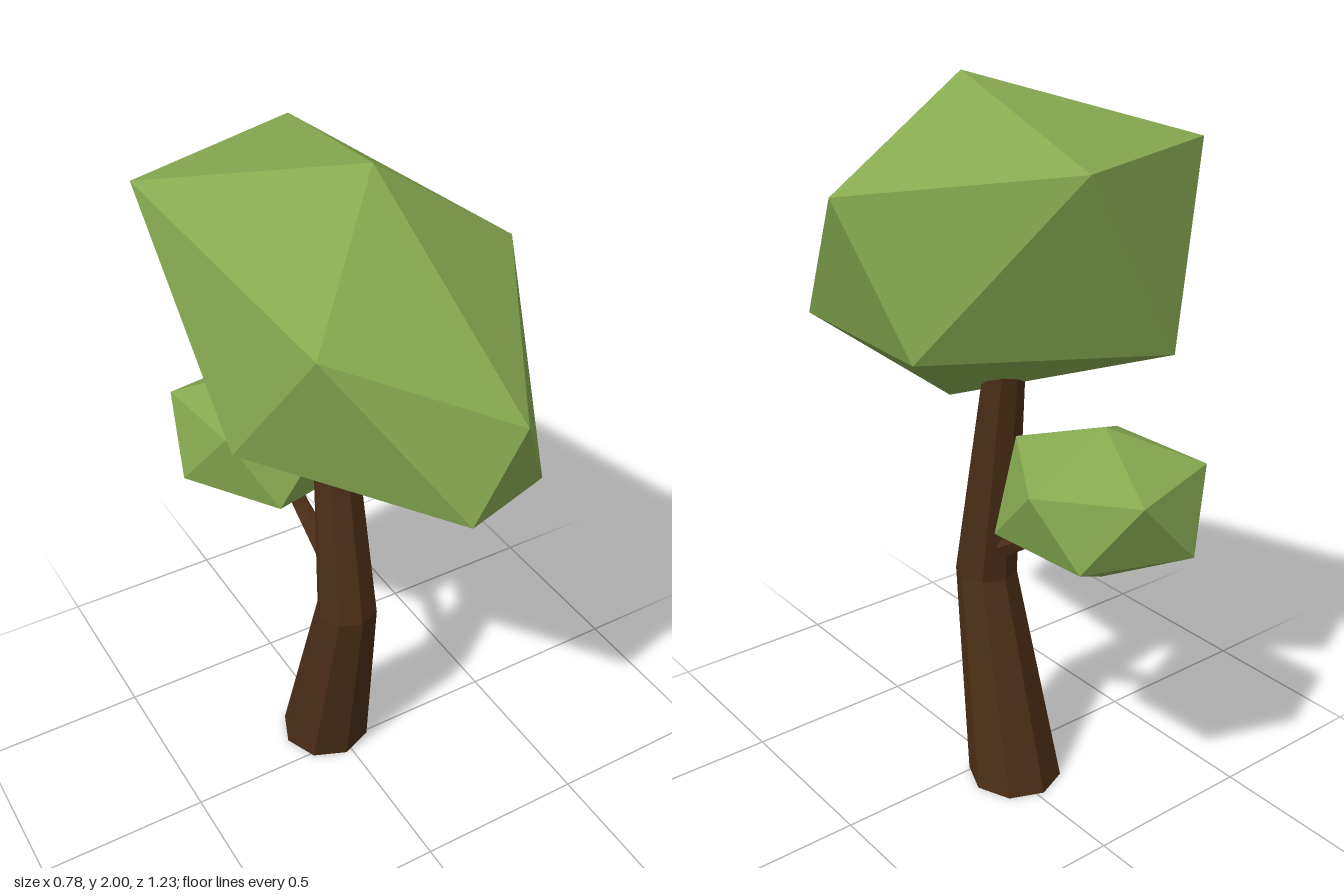
import * as THREE from 'three';

const bark = new THREE.MeshStandardMaterial({ color: 0x4a2e17, flatShading: true });
const leaf = new THREE.MeshStandardMaterial({ color: 0x86a850, flatShading: true });

// Faceted mesh from a list of triangles, each an array of three [x, y, z] points
function facetMesh(name, triangles, material) {
  const geometry = new THREE.BufferGeometry();
  geometry.setAttribute('position', new THREE.Float32BufferAttribute(triangles.flat(2), 3));
  geometry.computeVertexNormals();
  const mesh = new THREE.Mesh(geometry, material);
  mesh.name = name;
  return mesh;
}

// Capped limb through rings { c: centre, r: radius, tilt: lean towards the back }
function limb(name, sides, rings) {
  const loops = rings.map(({ c, r, tilt = 0 }) =>
    Array.from({ length: sides }, (_, i) => {
      const a = (i / sides) * Math.PI * 2;
      const v = r * Math.sin(a);
      return [c[0] + r * Math.cos(a), c[1] + v * Math.sin(tilt), c[2] + v * Math.cos(tilt)];
    }));
  const last = rings.length - 1;
  const triangles = [];
  for (let i = 0; i < sides; i++) {
    const j = (i + 1) % sides;
    for (let k = 0; k < last; k++) {
      const p = loops[k], q = loops[k + 1];
      triangles.push([p[i], q[i], p[j]], [q[i], q[j], p[j]]);
    }
    triangles.push([rings[0].c, loops[0][i], loops[0][j]]);
    triangles.push([rings[last].c, loops[last][j], loops[last][i]]);
  }
  return facetMesh(name, triangles, bark);
}

// Irregular icosahedron: top point, two staggered rings of five, bottom point
function foliage(name, top, upper, lower, bottom) {
  const triangles = [];
  for (let i = 0; i < 5; i++) {
    const j = (i + 1) % 5;
    triangles.push(
      [top, upper[j], upper[i]],
      [upper[i], upper[j], lower[i]],
      [lower[i], upper[j], lower[j]],
      [bottom, lower[i], lower[j]]);
  }
  return facetMesh(name, triangles, leaf);
}

export function createModel() {
  const tree = new THREE.Group();
  tree.name = 'tree';

  // Bent, tapering trunk
  tree.add(limb('trunk', 8, [
    { c: [-0.02, 0, -0.085], r: 0.135 },
    { c: [-0.02, 0.62, 0.05], r: 0.0875 },
    { c: [-0.015, 1.245, -0.035], r: 0.056 },
  ]));

  // Side branch curving up into the small crown
  tree.add(limb('branch', 6, [
    { c: [-0.02, 0.7, 0.01], r: 0.036, tilt: 1.05 },
    { c: [-0.03, 0.825, -0.19], r: 0.025, tilt: 0.9 },
    { c: [-0.05, 0.95, -0.3], r: 0.02, tilt: 0.7 },
  ]));

  // Large crown
  tree.add(foliage('largeCrown', [0, 2, 0.125],
    [[0.39, 1.73, 0.14], [0.115, 1.54, 0.615], [-0.29, 1.71, 0.38], [-0.395, 1.86, -0.34], [0.125, 1.86, -0.51]],
    [[0.23, 1.31, 0.54], [-0.02, 1.31, 0.615], [-0.39, 1.35, 0.14], [-0.16, 1.39, -0.51], [0.32, 1.35, -0.1]],
    [0.01, 1.12, 0.175]));

  // Small crown behind the trunk
  tree.add(foliage('smallCrown', [-0.055, 1.19, -0.39],
    [[0.19, 1.065, -0.39], [0.02, 1.1, -0.13], [-0.235, 1.1, -0.24], [-0.26, 1.09, -0.545], [0.02, 1.07, -0.615]],
    [[0.15, 0.885, -0.205], [-0.13, 0.895, -0.13], [-0.3, 0.89, -0.4], [-0.16, 0.885, -0.615], [0.135, 0.89, -0.52]],
    [-0.055, 0.77, -0.39]));

  return tree;
}
